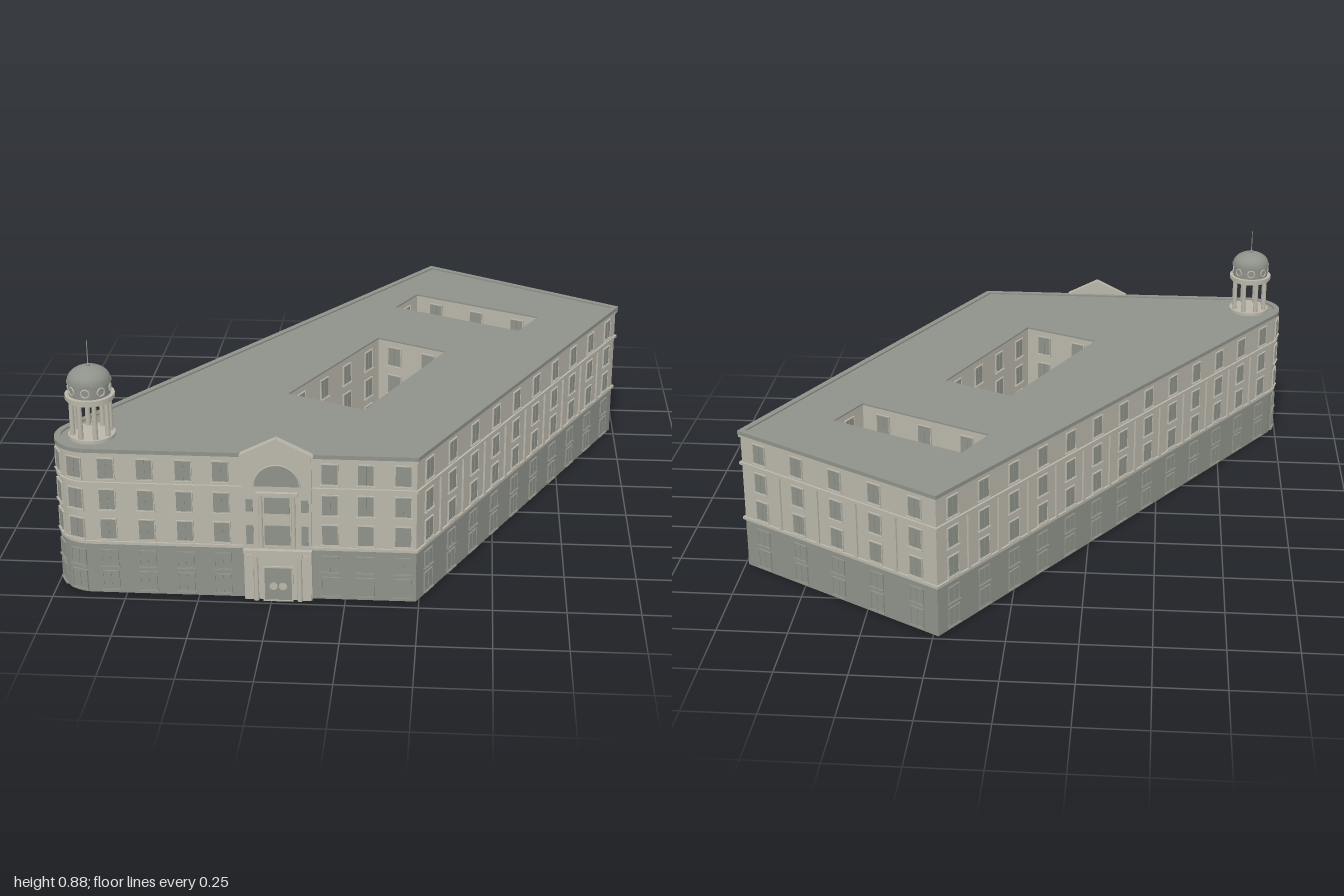
import * as THREE from 'three';
import { mergeGeometries } from 'three/addons/utils/BufferGeometryUtils.js';

const mat = (name, color) => Object.assign(new THREE.MeshStandardMaterial({ color }), { name });

export function createModel() {
  const stone = mat('stone', 0xbab6aa);
  const grey = mat('grey', 0x8f928a);
  const model = new THREE.Group();

  const add = (parent, name, geo, material, x = 0, y = 0, z = 0) => {
    const m = new THREE.Mesh(geo, material);
    m.name = name;
    m.position.set(x, y, z);
    parent.add(m);
    return m;
  };
  const group = (name, parent = model) => {
    const g = new THREE.Group();
    g.name = name;
    parent.add(g);
    return g;
  };
  const box = (w, h, d, x, y, z) => new THREE.BoxGeometry(w, h, d).translate(x, y, z).toNonIndexed();
  const V = (x, y) => new THREE.Vector2(x, y);

  // Footprint as plan points (x, -z), counter-clockwise, with one rounded corner
  const C = V(-0.865, -0.845), R = 0.12;
  const A0 = THREE.MathUtils.degToRad(146), A1 = THREE.MathUtils.degToRad(270);
  const arcPoint = (a) => V(C.x + R * Math.cos(a), C.y + R * Math.sin(a));
  const frontLeft = arcPoint(A1), frontRight = V(0.24, -0.965);
  const backRight = V(0.985, 0.535), back = V(0.23, 0.992), leftEnd = arcPoint(A0);
  const outline = [frontLeft, frontRight, backRight, back];
  const SEG = 18;
  for (let i = 0; i < SEG; i++) outline.push(arcPoint(A0 + (A1 - A0) * i / SEG));

  // Courtyards, clockwise
  const courts = [
    [V(0.05, 0.14), V(0.31, 0.01), V(0.04, -0.57), V(-0.24, -0.44)],
    [V(0.18, 0.65), V(0.67, 0.41), V(0.59, 0.25), V(0.10, 0.49)],
  ];

  // Mitred outward offset of a plan outline
  const offset = (pts, o) => pts.map((p, i) => {
    const n = pts.length;
    const d1 = p.clone().sub(pts[(i + n - 1) % n]).normalize();
    const d2 = pts[(i + 1) % n].clone().sub(p).normalize();
    const n1 = V(d1.y, -d1.x), n2 = V(d2.y, -d2.x);
    return n1.clone().add(n2).multiplyScalar(o / (1 + n1.dot(n2))).add(p);
  });
  const slab = (name, pts, holes, y0, y1, material) => {
    const s = new THREE.Shape(pts);
    s.holes = holes.map((h) => new THREE.Path(h));
    const g = new THREE.ExtrudeGeometry(s, { depth: y1 - y0, bevelEnabled: false });
    return add(model, name, g.rotateX(-Math.PI / 2), material, 0, y0, 0);
  };
  const band = (name, inner, outer, y0, y1, material) =>
    slab(name, offset(outline, outer), [offset(outline, inner)], y0, y1, material);

  // Main masses and mouldings
  slab('groundSlab', outline, [], 0, 0.005, grey);
  slab('baseStorey', outline, courts, 0.005, 0.19, grey);
  slab('upperStoreys', outline, courts, 0.19, 0.528, stone);
  slab('roof', offset(outline, -0.002), courts, 0.528, 0.534, grey);
  band('lowerCornice', -0.004, 0.008, 0.188, 0.198, stone);
  band('middleCornice', -0.004, 0.008, 0.408, 0.418, stone);
  band('eaves', -0.004, 0.006, 0.516, 0.526, stone);
  band('parapet', -0.014, 0.008, 0.526, 0.54, grey);

  // Windows: grey pane with cross bars, thin surround and sill
  const W = 0.052, rows = [[0.016, 0.066], [0.106, 0.056], [0.208, 0.072], [0.318, 0.072], [0.432, 0.072]];
  const surround = (w, h, t, d) => {
    const r = (a, b) => [V(-a, -b), V(a, -b), V(a, b), V(-a, b)];
    const s = new THREE.Shape(r(w / 2 + t, h / 2 + t));
    s.holes.push(new THREE.Path(r(w / 2, h / 2).reverse()));
    return new THREE.ExtrudeGeometry(s, { depth: d, bevelEnabled: false });
  };
  const windows = (parent, xs) => {
    const panes = [], upper = [], lower = [];
    for (const x of xs) rows.forEach(([y, h], i) => {
      const trim = i < 2 ? lower : upper;
      panes.push(box(W, h, 0.003, x, y + h / 2, 0.0018));
      panes.push(box(0.003, h, 0.003, x, y + h / 2, 0.004));
      trim.push(surround(W, h, 0.003, 0.006).translate(x, y + h / 2, 0));
      trim.push(box(W + 0.012, 0.004, 0.01, x, y - 0.004, 0.005));
    });
    add(parent, 'windowPanes', mergeGeometries(panes), grey);
    add(parent, 'upperWindowSurrounds', mergeGeometries(upper), stone);
    add(parent, 'baseWindowSurrounds', mergeGeometries(lower), grey);
  };

  // A wall runs left to right as seen from outside
  const wall = (name, a, b, bays, pilasters, xs) => {
    const g = group(name);
    const L = a.distanceTo(b);
    g.position.set(a.x, 0, -a.y);
    g.rotation.y = Math.atan2(b.y - a.y, b.x - a.x);
    windows(g, xs || Array.from({ length: bays }, (_, i) => (i + 0.5) * L / bays));
    if (pilasters) {
      const p = [];
      for (let i = 1; i < bays; i++) p.push(box(0.013, 0.212, 0.007, i * L / bays, 0.302, 0.0035));
      add(g, 'pilasters', mergeGeometries(p), stone);
    }
  };
  wall('frontWall', frontLeft, frontRight, 7, false,
    [-0.80, -0.67, -0.54, -0.415, -0.05, 0.07, 0.195].map((x) => x - frontLeft.x));
  wall('rightWall', frontRight, backRight, 10, true);
  wall('backWall', backRight, back, 5, true);
  wall('leftWall', back, leftEnd, 13, true);
  courts.forEach((c, k) => c.forEach((p, i) => {
    const counts = k ? [3, 1, 3, 1] : [2, 4, 2, 4];
    wall('courtyardWall', p, c[(i + 1) % 4], counts[i], false);
  }));

  // Rounded corner windows
  for (let i = 0; i < 3; i++) {
    const a = A0 + (A1 - A0) * (i + 0.5) / 3, p = arcPoint(a);
    const g = group('cornerWindows');
    g.position.set(p.x, 0, -p.y);
    g.rotation.y = Math.atan2(Math.cos(a), -Math.sin(a));
    windows(g, [0]);
  }

  // Entrance bay with pediment
  const bay = group('entranceBay');
  bay.position.set(-0.226, 0, 0.965);
  const front = new THREE.Shape([V(-0.115, 0), V(0.115, 0), V(0.115, 0.535), V(0, 0.592), V(-0.115, 0.535)]);
  add(bay, 'bayWall', new THREE.ExtrudeGeometry(front, { depth: 0.014, bevelEnabled: false }), stone);
  for (const s of [-1, 1]) {
    const slope = add(bay, 'pedimentMoulding', new THREE.BoxGeometry(0.137, 0.009, 0.026), stone, s * 0.06, 0.565, 0.011);
    slope.rotation.z = -s * Math.atan2(0.057, 0.115);
    for (const [y, h] of [[0.244, 0.07], [0.354, 0.045]])
      add(bay, 'sideWindow', new THREE.BoxGeometry(0.024, h, 0.004), grey, s * 0.093, y, 0.015);
    add(bay, 'upperColumn', new THREE.CylinderGeometry(0.007, 0.008, 0.196, 16), stone, s * 0.055, 0.298, 0.02);
    add(bay, 'porchColumn', new THREE.CylinderGeometry(0.007, 0.009, 0.165, 16), stone, s * 0.074, 0.0825, 0.02);
    add(bay, 'porchPier', new THREE.BoxGeometry(0.03, 0.17, 0.006), stone, s * 0.098, 0.085, 0.016);
  }
  const arch = new THREE.Shape();
  arch.absarc(0, 0, 0.076, 0, Math.PI);
  add(bay, 'archedWindow', new THREE.ExtrudeGeometry(arch, { depth: 0.004, bevelEnabled: false, curveSegments: 24 }), grey, 0, 0.425, 0.013);
  add(bay, 'archTrim', new THREE.TorusGeometry(0.077, 0.003, 6, 32, Math.PI), stone, 0, 0.425, 0.016);
  add(bay, 'upperLintel', new THREE.BoxGeometry(0.14, 0.01, 0.024), stone, 0, 0.4, 0.016);
  for (const [y, h] of [[0.244, 0.072], [0.354, 0.058]])
    add(bay, 'centreWindow', new THREE.BoxGeometry(0.086, h, 0.004), grey, 0, y, 0.015);
  add(bay, 'porchLintel', new THREE.BoxGeometry(0.232, 0.012, 0.03), stone, 0, 0.186, 0.015);
  add(bay, 'porchFrieze', new THREE.BoxGeometry(0.17, 0.015, 0.026), stone, 0, 0.172, 0.015);
  add(bay, 'door', new THREE.BoxGeometry(0.092, 0.12, 0.004), grey, 0, 0.06, 0.015);
  add(bay, 'doorSurround', surround(0.092, 0.122, 0.005, 0.006), stone, 0, 0.061, 0.013);
  for (const s of [-1, 1])
    add(bay, 'doorRoundel', new THREE.CylinderGeometry(0.014, 0.014, 0.003, 20).rotateX(Math.PI / 2), stone, s * 0.016, 0.052, 0.017);

  // Corner lantern tower
  const tower = group('lanternTower');
  tower.position.set(C.x, 0, -C.y);
  const cyl = (name, r, y0, y1, m) => add(tower, name, new THREE.CylinderGeometry(r, r, y1 - y0, 40), m, 0, (y0 + y1) / 2, 0);
  cyl('towerBase', 0.08, 0.53, 0.546, stone);
  cyl('columnRing', 0.078, 0.668, 0.676, stone);
  cyl('towerCornice', 0.084, 0.676, 0.69, stone);
  cyl('drum', 0.07, 0.69, 0.732, grey);
  cyl('drumMoulding', 0.075, 0.732, 0.738, grey);
  for (let i = 0; i < 8; i++) {
    const a = (i + 0.5) * Math.PI / 4, s = Math.sin(a), c = Math.cos(a);
    add(tower, 'towerColumn', new THREE.CylinderGeometry(0.008, 0.009, 0.124, 14), stone, s * 0.065, 0.607, c * 0.065);
    const b = i * Math.PI / 4;
    const ring = add(tower, 'roundWindow', new THREE.TorusGeometry(0.014, 0.003, 6, 20), stone,
      Math.sin(b) * 0.07, 0.712, Math.cos(b) * 0.07);
    ring.rotation.y = b;
  }
  const dome = [];
  for (let i = 0; i <= 12; i++) {
    const t = i / 12 * Math.PI / 2;
    dome.push(V(Math.max(0.073 * Math.cos(t), 0), 0.738 + 0.05 * Math.sin(t)));
  }
  add(tower, 'dome', new THREE.LatheGeometry(dome, 40), grey);
  add(tower, 'finial', new THREE.SphereGeometry(0.007, 12, 8), grey, 0, 0.79, 0);
  add(tower, 'mast', new THREE.CylinderGeometry(0.0015, 0.002, 0.09, 8), grey, 0, 0.83, 0);
  return model;
}
